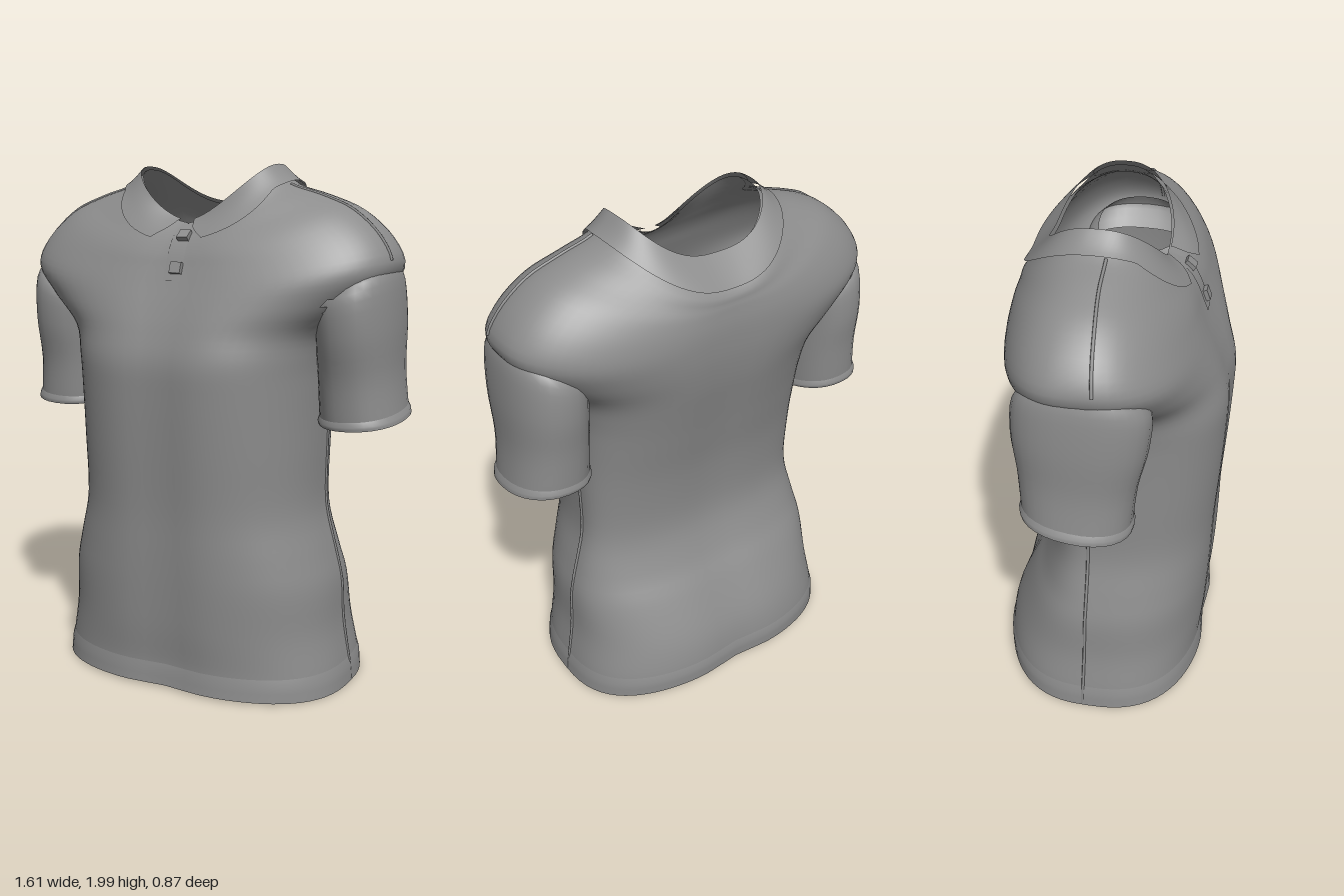
import * as THREE from 'three';

const cloth = new THREE.MeshStandardMaterial({ color: 0x8c8c8c, side: THREE.DoubleSide });
cloth.name = 'grey cloth';

const Z0 = -0.03; // depth of the side seams
const rad = THREE.MathUtils.degToRad;
const spow = (v, p) => Math.sign(v) * Math.abs(v) ** p;

// Shirt cross-sections, hem to neck:
// half width, side y, front y, front z, back y, back z, squareness
const RINGS = [
  [0.605, 0.005, 0.015, 0.39, 0.045, -0.44, 2.6],
  [0.595, 0.10, 0.10, 0.385, 0.13, -0.44, 2.6],
  [0.57, 0.25, 0.25, 0.40, 0.25, -0.415, 2.5],
  [0.56, 0.42, 0.42, 0.41, 0.42, -0.34, 2.5],
  [0.53, 0.55, 0.55, 0.415, 0.55, -0.275, 2.5],
  [0.49, 0.72, 0.72, 0.42, 0.72, -0.23, 2.5],
  [0.49, 0.95, 0.95, 0.435, 0.95, -0.245, 2.5],
  [0.495, 1.15, 1.15, 0.445, 1.15, -0.285, 2.5],
  [0.505, 1.28, 1.28, 0.445, 1.28, -0.315, 2.5],
  [0.54, 1.39, 1.39, 0.415, 1.39, -0.34, 2.5],
  [0.66, 1.50, 1.48, 0.38, 1.49, -0.355, 2.5],
  [0.76, 1.62, 1.56, 0.345, 1.57, -0.36, 2.5],
  [0.72, 1.73, 1.62, 0.32, 1.63, -0.36, 2.4],
  [0.61, 1.83, 1.67, 0.30, 1.68, -0.355, 2.25],
  [0.48, 1.885, 1.72, 0.27, 1.71, -0.35, 2.1],
  [0.35, 1.925, 1.75, 0.235, 1.75, -0.335, 2.2],
  [0.275, 1.985, 1.78, 0.18, 1.85, -0.235, 2.5],
];
const TOP = RINGS.length - 1;

// Smooth blend between cross-sections
function ringAt(rings, u) {
  const last = rings.length - 1;
  const i = Math.min(Math.floor(u), last - 1), t = u - i;
  const at = (k) => rings[Math.max(0, Math.min(last, k))];
  return rings[0].map((_, j) => {
    const a = at(i - 1)[j], b = at(i)[j], c = at(i + 1)[j], d = at(i + 2)[j];
    const m0 = (c - a) / 2, m1 = (d - b) / 2;
    return b + t * (m0 + t * (3 * (c - b) - 2 * m0 - m1 + t * (2 * (b - c) + m0 + m1)));
  });
}

// Point on the shirt: u = ring number, a = angle from the left side towards the front
function bodyPoint(u, a, out = 0) {
  const [w, ys, yf, zf, yb, zb, n] = ringAt(RINGS, u);
  const c = Math.cos(a), s = Math.sin(a);
  const x = w * spow(c, 2 / n);
  const depth = s > 0 ? zf - Z0 : Z0 - zb;
  const groove = 1 - 0.05 * Math.exp(-((x / 0.12) ** 2)); // shallow centre crease
  const dip = s > 0 ? 2 - 0.35 * Math.max(0, u - 14) : 2; // neckline turns to a V in front
  const low = s > 0 ? yf : yb;
  const y = low + (ys - low) * Math.abs(c) ** dip;
  return [x + out * c, y, Z0 + depth * spow(s, 2 / n) * groove + out * s];
}

// Sheet from a point rule; a closed sheet joins its last column to its first
function sheet(name, rows, cols, point, closed = false, keep = () => true) {
  const pos = [], idx = [], n = closed ? cols : cols + 1;
  for (let r = 0; r <= rows; r++)
    for (let c = 0; c < n; c++) pos.push(...point(r / rows, c / cols));
  for (let r = 0; r < rows; r++)
    for (let c = 0; c < cols; c++) {
      const a = r * n + c, b = r * n + ((c + 1) % n), d = a + n, e = b + n;
      if (keep(pos[a * 3], pos[a * 3 + 1])) idx.push(a, d, b, b, d, e);
    }
  const g = new THREE.BufferGeometry();
  g.setAttribute('position', new THREE.Float32BufferAttribute(pos, 3));
  g.setIndex(idx);
  g.computeVertexNormals();
  const mesh = new THREE.Mesh(g, cloth);
  mesh.name = name;
  return mesh;
}

// Sleeve cross-sections: inner x, outer x, inner y, outer y, front z, back z
const SLEEVE = [
  [0.47, 0.735, 1.53, 1.65, 0.15, -0.20],
  [0.47, 0.762, 1.48, 1.58, 0.215, -0.25],
  [0.475, 0.775, 1.37, 1.42, 0.21, -0.26],
  [0.475, 0.775, 1.24, 1.25, 0.175, -0.245],
  [0.48, 0.79, 1.09, 1.11, 0.16, -0.235],
  [0.485, 0.795, 1.06, 1.075, 0.155, -0.23],
];
function sleevePoint(side, u, a, out = 0) {
  const [xi, xo, yi, yo, zf, zb] = ringAt(SLEEVE, u);
  const c = spow(Math.cos(a), 0.9), s = spow(Math.sin(a), 0.9);
  const tilt = 0.025 * Math.min(1, u / 3); // cuff hangs lower in front
  return [
    side * ((xi + xo) / 2 + (xo - xi) / 2 * c + out * c),
    (yi + yo) / 2 + (yo - yi) / 2 * c - tilt * s,
    (zf + zb) / 2 + (zf - zb) / 2 * s + out * s,
  ];
}

function seam(name, from, to, angle) {
  const pts = [];
  for (let i = 0; i <= 12; i++)
    pts.push(new THREE.Vector3(...bodyPoint(from + (to - from) * i / 12, angle)));
  const mesh = new THREE.Mesh(
    new THREE.TubeGeometry(new THREE.CatmullRomCurve3(pts), 30, 0.006, 6), cloth);
  mesh.name = name;
  return mesh;
}

export function createModel() {
  const shirt = new THREE.Group();
  shirt.name = 'shortSleevedShirt';
  const TAU = Math.PI * 2;

  // Torso and yoke, open at the armholes inside the sleeves
  shirt.add(sheet('torso', TOP * 4, 72, (v, t) => bodyPoint(v * TOP, t * TAU), true,
    (x, y) => !(Math.abs(x) > 0.57 && y > 1.42 && y < 1.52)));

  // Hem band
  shirt.add(sheet('hemBand', 4, 72, (v, t) => bodyPoint(v, t * TAU, v === 1 ? 0 : 0.005), true));

  // Sleeves, cuffs and seams
  for (const side of [1, -1]) {
    const label = side > 0 ? 'left' : 'right';
    shirt.add(sheet(label + 'Sleeve', 20, 32, (v, t) => sleevePoint(side, v * 5, t * TAU), true));
    shirt.add(sheet(label + 'Cuff', 4, 32,
      (v, t) => sleevePoint(side, 4 + v, t * TAU, v === 0 ? 0 : 0.008), true));
    const mirror = (deg) => rad(side > 0 ? deg : 180 - deg);
    shirt.add(seam(label + 'ShoulderSeam', 11.3, 15, mirror(8)));
    shirt.add(seam(label + 'SideSeam', 0.1, 8.5, mirror(-1)));
  }

  // Folded collar, parted at the front with two points
  shirt.add(sheet('collar', 8, 96, (v, t) => {
    const fold = 1 - v; // 0 at the neck edge, 1 at the outer edge
    const gap = 3 + 8 * fold;
    const a = rad(90 + gap + t * (360 - 2 * gap));
    const front = Math.max(0, 1 - Math.min(t, 1 - t) / 0.15);
    const p = bodyPoint(TOP - fold * (1 + 1.2 * front), a, 0.008);
    p[1] += 0.012;
    return p;
  }));

  // Button placket
  shirt.add(sheet('placket', 10, 4, (v, t) => {
    const p = bodyPoint(11.2 + v * 4.7, rad(90));
    return [-0.02 + t * 0.07, p[1], p[2] + 0.006];
  }));

  // Square buttons lying on the placket
  for (const u of [14.5, 12]) {
    const p = bodyPoint(u, rad(90)), q = bodyPoint(u + 0.2, rad(90));
    const button = new THREE.Mesh(new THREE.BoxGeometry(0.045, 0.042, 0.02), cloth);
    button.name = 'button';
    button.position.set(0.028, p[1], p[2] + 0.012);
    button.rotation.x = Math.atan2(q[2] - p[2], q[1] - p[1]);
    shirt.add(button);
  }
  return shirt;
}
